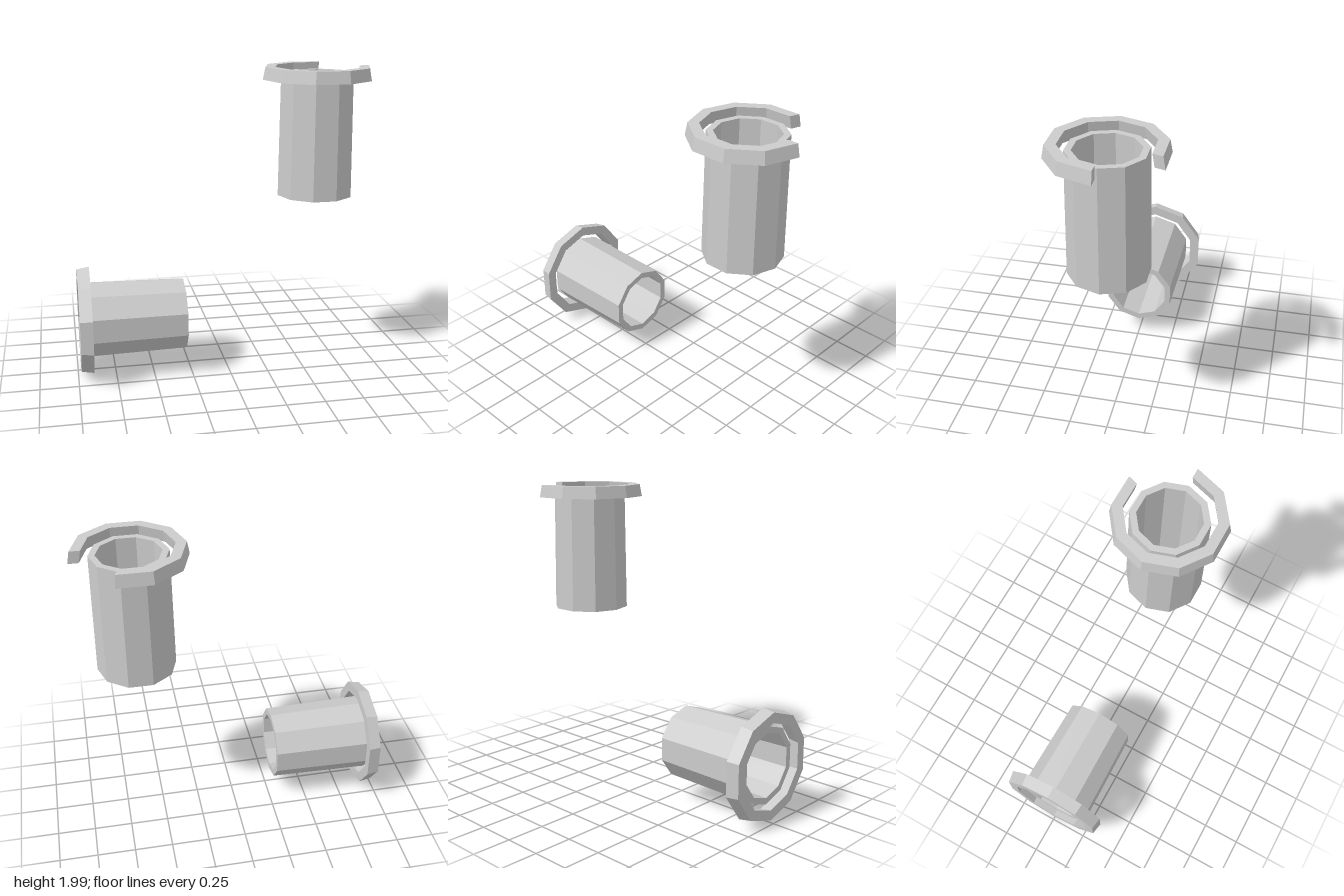
import * as THREE from 'three';

const SIDES = 10;
const DEG = Math.PI / 180;

export function createModel() {
  const grey = new THREE.MeshStandardMaterial({ color: 0xcccccc, flatShading: true, side: THREE.DoubleSide });
  grey.name = 'light grey';

  // Hollow tapered wall swept around y: [radius, height] at both ends, inner radii parallel
  function wall(name, r0, y0, r1, y1, thick, segments = SIDES, start = 90 * DEG) {
    const group = new THREE.Group();
    group.name = name;
    const profile = [[r0, y0], [r1, y1], [r1 - thick, y1], [r0 - thick, y0], [r0, y0]]
      .map(([x, y]) => new THREE.Vector2(x, y));
    const sweep = (segments / SIDES) * Math.PI * 2;
    const shell = new THREE.Mesh(new THREE.LatheGeometry(profile, segments, start, sweep), grey);
    shell.name = name + 'Shell';
    group.add(shell);
    // Close the two ends of an open ring
    if (segments < SIDES) {
      for (const angle of [start, start + sweep]) {
        const cap = new THREE.Mesh(new THREE.ShapeGeometry(new THREE.Shape(profile.slice(0, 4))), grey);
        cap.name = name + 'EndCap';
        cap.rotation.y = angle - 90 * DEG;
        group.add(cap);
      }
    }
    return group;
  }

  // Upright tube with an open collar, two sides missing at the back
  const upright = new THREE.Group();
  upright.name = 'uprightFitting';
  upright.add(
    wall('uprightTube', 0.253, 1.155, 0.243, 1.96, 0.042),
    wall('openCollar', 0.363, 1.92, 0.348, 2, 0.067, 8, 162 * DEG)
  );
  upright.position.x = 0.615;

  // Lying tube with a full collar, its axis pointing to -x
  const lying = new THREE.Group();
  lying.name = 'lyingFitting';
  lying.add(
    wall('lyingTube', 0.24, 0.28, 0.253, 0.94, 0.042),
    wall('closedCollar', 0.362, 0.9, 0.348, 0.98, 0.067)
  );
  lying.rotation.z = 90 * DEG;
  lying.position.y = 0.368;

  const model = new THREE.Group();
  model.name = 'tubeFittings';
  model.add(upright, lying);
  return model;
}
